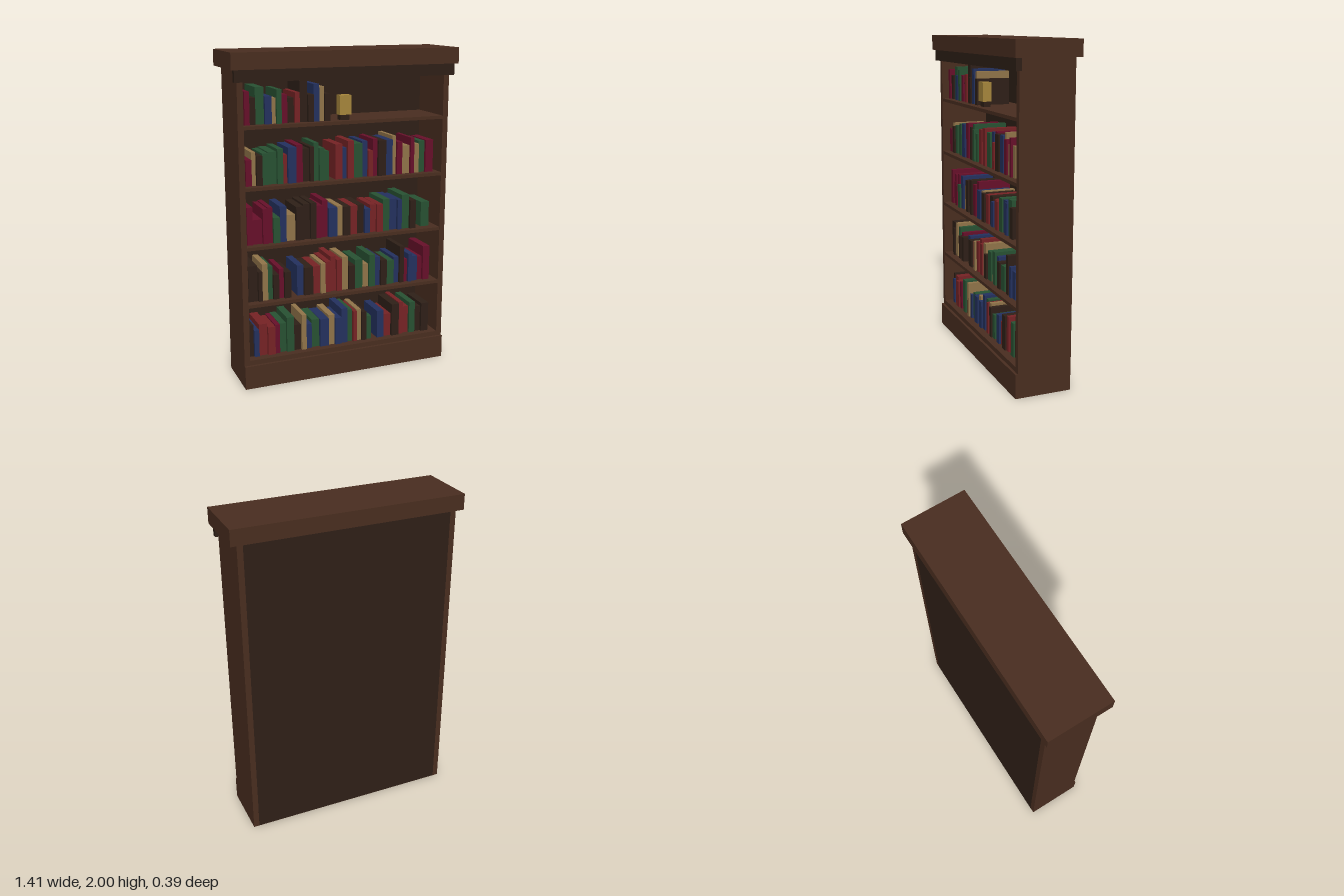
import * as THREE from 'three';

const mat = (color) => new THREE.MeshStandardMaterial({ color });
const WOOD = mat(0x4a2e20);
const DARK = mat(0x2f2017);

// Book cloth: r red, c crimson, g green, b blue, t tan, d dark
const CLOTH = {
  r: mat(0x772325), c: mat(0x68102a), g: mat(0x285233),
  b: mat(0x24315f), t: mat(0x92754a), d: mat(0x2f2018),
};
const GOLD = mat(0xa8873c);

// Each row: cloth letter, width:height in book units; "_" is a gap
const UNIT = 0.0053;
const ROWS = [
  { y: 0.175, books: 'd5:38 b6:32 r10:38 r9:34 c6:35 g8:35 g9:42 d9:31 t6:43 b7:30 g10:34 b11:34 t8:37 b8:33 b8:43 g7:40 r5:38 t6:39 d6:36 g7:29 _7:0 b9:34 r10:28 d10:40 r6:41 r8:34 g8:39 d8:32 d10:36' },
  { y: 0.527, books: 'd11:42 d5:35 t7:43 g6:39 d7:29 c6:35 d8:31 _8:0 b8:36 d11:33 r9:33 t6:36 r7:37 r7:42 r7:38 t8:40 d8:29 g10:35 t8:28 g8:39 b7:35 d8:31 g10:29 b7:32 d6:45 c5:28 b5:35 b8:31 c7:29 c9:42' },
  { y: 0.88, books: 'c7:43 c11:28 c6:40 c6:41 g8:29 b8:41 t11:30 d9:39 d8:41 d7:42 c8:38 c7:43 b11:34 t7:35 d9:34 r9:34 d9:34 b7:29 r8:33 r8:33 g9:38 b10:37 b6:36 g10:41 d8:34 _8:0 g11:30' },
  { y: 1.234, books: 'c7:29 t5:37 d7:33 g7:35 g10:36 g7:39 r5:32 b10:40 c8:42 d8:37 d5:39 g6:43 g6:37 g6:33 _7:0 r9:40 b6:35 r8:43 g11:39 b7:41 r6:30 c6:43 d10:41 b9:41 t5:45 c7:38 t10:33 c5:42 t7:34 g8:37 c10:38' },
  { y: 1.588, books: 'c6:36 d7:29 g10:40 b8:30 t5:28 g6:37 c7:31 d8:27 r6:33 d9:45 d7:30 b7:41 t6:38 d7:30' },
];

// Box given by its lower and upper limits on each axis
function box(name, material, [x0, x1], [y0, y1], [z0, z1]) {
  const mesh = new THREE.Mesh(new THREE.BoxGeometry(x1 - x0, y1 - y0, z1 - z0), material);
  mesh.position.set((x0 + x1) / 2, (y0 + y1) / 2, (z0 + z1) / 2);
  mesh.name = name;
  return mesh;
}

function bookRow({ y, books }, index) {
  const row = new THREE.Group();
  row.name = `bookRow${index + 1}`;
  let x = -0.613;
  books.split(' ').forEach((token, i) => {
    const [width, height] = token.slice(1).split(':').map((n) => n * UNIT);
    if (token[0] !== '_') {
      // Spines stand slightly uneven along the shelf
      const front = 0.095 + 0.005 * ((i * 3 + index) % 5);
      row.add(box('book', CLOTH[token[0]], [x, x + width - 0.002], [y, y + height], [front - 0.21, front]));
    }
    x += width;
  });
  return row;
}

export function createModel() {
  const model = new THREE.Group();
  model.name = 'bookcase';

  // Carcass
  for (const s of [-1, 1]) {
    const side = box(s > 0 ? 'leftSide' : 'rightSide', WOOD, [-0.0175, 0.0175], [0.145, 1.905], [-0.175, 0.155]);
    side.position.x = s * 0.6475;
    model.add(side);
  }
  model.add(
    box('backPanel', DARK, [-0.63, 0.63], [0.002, 1.905], [-0.175, -0.155]),
    box('base', WOOD, [-0.665, 0.665], [0, 0.145], [-0.174, 0.17]),
    box('frieze', DARK, [-0.685, 0.685], [1.836, 1.905], [0.15, 0.182]),
    box('cornice', WOOD, [-0.705, 0.705], [1.905, 2], [-0.196, 0.196]),
  );

  // Shelves with their books
  ROWS.forEach((row, i) => {
    const thickness = i ? 0.02 : 0.03;
    model.add(box('shelf', WOOD, [-0.63, 0.63], [row.y - thickness, row.y], [-0.155, 0.153]));
    model.add(bookRow(row, i));
  });

  // Small gilt box on a dark plinth
  model.add(
    box('ornamentPlinth', DARK, [-0.03, 0.03], [1.588, 1.62], [0.07, 0.11]),
    box('ornament', GOLD, [-0.037, 0.036], [1.62, 1.735], [0.065, 0.12]),
  );
  return model;
}
